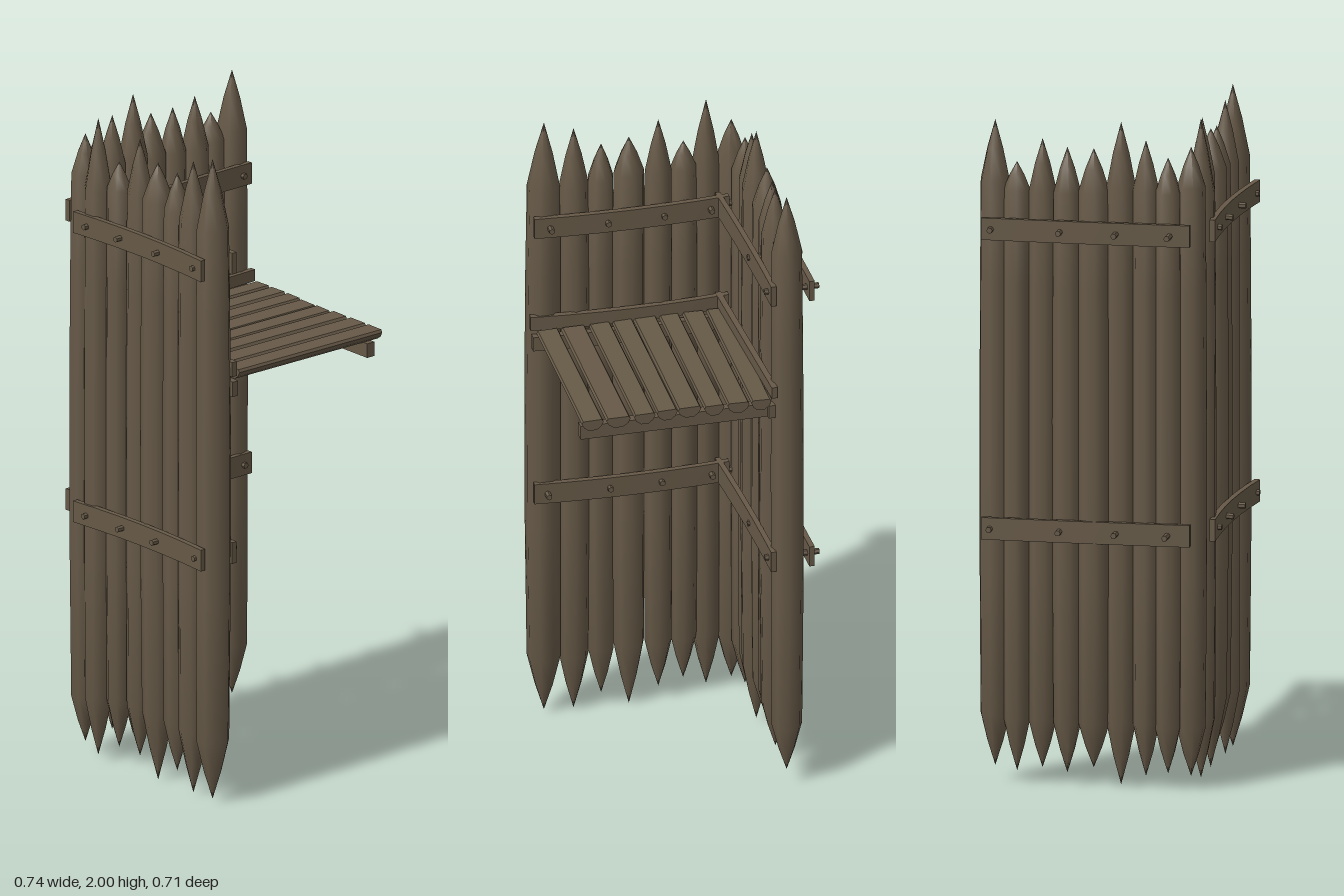
import * as THREE from 'three';
import { toCreasedNormals } from 'three/addons/utils/BufferGeometryUtils.js';

const wood = new THREE.MeshStandardMaterial({ color: 0x665947 });
wood.name = 'weatheredWood';

let seed = 7;
const wobble = (a) => {
  seed = (seed * 16807) % 2147483647;
  return (seed / 2147483647 * 2 - 1) * a;
};

function add(parent, name, geo, x = 0, y = 0, z = 0) {
  const mesh = new THREE.Mesh(geo, wood);
  mesh.name = name;
  mesh.position.set(x, y, z);
  parent.add(mesh);
  return mesh;
}

// Upright log sharpened at both ends, with a slight natural bow
function stake(parent, name, [x, z, r, bottom, top]) {
  const low = 0.2 + wobble(0.015), high = 1.79 + wobble(0.025);
  const profile = [
    [0, bottom], [r * 0.5, bottom + (low - bottom) * 0.47], [r * 0.93, low], [r * 0.99, 0.65],
    [r, 1.1], [r * 0.97, 1.5], [r * 0.92, high], [r * 0.5, high + (top - high) * 0.53], [0, top],
  ].map(([a, b]) => new THREE.Vector2(a, b));
  const geo = new THREE.LatheGeometry(profile, 8, wobble(1));
  const bx = wobble(0.005), bz = wobble(0.005);
  const p = geo.attributes.position;
  for (let i = 0; i < p.count; i++) {
    const s = Math.sin(p.getY(i) * Math.PI / 2);
    p.setX(i, p.getX(i) + bx * s);
    p.setZ(i, p.getZ(i) + bz * s);
  }
  add(parent, name, toCreasedNormals(geo, 0.9), x, 0, z);
}

// Plank between two ground-plan points, bowed sideways by bend
function rail(parent, name, [x0, z0], [x1, z1], y, height, thick, bend = 0) {
  const len = Math.hypot(x1 - x0, z1 - z0);
  const geo = new THREE.BoxGeometry(len, height, thick, 6, 1, 1);
  const p = geo.attributes.position;
  for (let i = 0; i < p.count; i++) {
    const t = p.getX(i) / len * 2;
    p.setZ(i, p.getZ(i) + bend * (1 - t * t));
  }
  geo.computeVertexNormals();
  const mesh = add(parent, name, geo, (x0 + x1) / 2, y, (z0 + z1) / 2);
  mesh.rotation.y = -Math.atan2(z1 - z0, x1 - x0);
}

// Peg driven right through a wall
function peg(parent, x, y, z, length, alongX) {
  const geo = toCreasedNormals(new THREE.CylinderGeometry(0.009, 0.009, length, 6), 0.5);
  if (alongX) geo.rotateZ(Math.PI / 2);
  else geo.rotateX(Math.PI / 2);
  add(parent, 'peg', geo, x, y, z);
}

// Split log: flat top, rounded underside
function halfLog(parent, x, width, y) {
  const shape = new THREE.Shape();
  const w = width / 2;
  shape.moveTo(-w * 0.86, 0);
  [[-w, -0.008], [-w * 0.8, -0.022], [-w * 0.35, -0.033], [w * 0.35, -0.033],
    [w * 0.8, -0.022], [w, -0.008], [w * 0.86, 0]].forEach(([a, b]) => shape.lineTo(a, b));
  shape.closePath();
  const length = 0.55 + wobble(0.005);
  const geo = new THREE.ExtrudeGeometry(shape, { depth: length, bevelEnabled: false });
  const mesh = add(parent, 'deckPlank', toCreasedNormals(geo, 0.6), x, y, 0.2 - length);
  mesh.rotation.z = wobble(0.03);
}

export function createModel() {
  const model = new THREE.Group();
  model.name = 'palisadeCorner';
  const group = (name) => {
    const g = new THREE.Group();
    g.name = name;
    model.add(g);
    return g;
  };

  // Front wall stakes: x, z, radius, bottom, top
  const front = group('frontWall');
  [
    [-0.25, 0.275, 0.046, 0.04, 1.93], [-0.177, 0.288, 0.046, 0.02, 2.0],
    [-0.103, 0.27, 0.041, 0.06, 1.88], [-0.025, 0.257, 0.043, 0.05, 1.97],
    [0.063, 0.262, 0.05, 0, 1.92], [0.147, 0.26, 0.043, 0.05, 1.91],
    [0.229, 0.268, 0.048, 0.005, 1.97], [0.318, 0.27, 0.054, 0.01, 2.0],
  ].forEach((s) => stake(front, 'frontStake', s));

  // Side wall stakes
  const side = group('sideWall');
  [
    [-0.272, -0.31, 0.049, 0.05, 1.99], [-0.288, -0.24, 0.043, 0.04, 1.87],
    [-0.274, -0.167, 0.045, 0.05, 1.94], [-0.283, -0.09, 0.044, 0.04, 1.92],
    [-0.287, -0.01, 0.05, 0.06, 1.92], [-0.275, 0.07, 0.047, 0.01, 2.0],
    [-0.28, 0.146, 0.043, 0.04, 1.95], [-0.276, 0.212, 0.043, 0.05, 1.9],
  ].forEach((s) => stake(side, 'sideStake', s));

  // Two rows of rails inside and outside, pegged through the stakes
  for (const y of [0.775, 1.675]) {
    rail(front, 'outerRail', [-0.228, 0.334], [0.352, 0.336], y, 0.066, 0.017, -0.015);
    rail(front, 'innerRail', [-0.228, 0.218], [0.36, 0.222], y, 0.066, 0.017, -0.013);
    rail(side, 'outerRail', [-0.343, -0.335], [-0.317, 0.287], y, 0.066, 0.016, 0.004);
    rail(side, 'innerRail', [-0.226, -0.34], [-0.2, 0.24], y, 0.066, 0.016, 0.004);
    for (const x of [-0.177, -0.025, 0.14, 0.318]) peg(front, x + wobble(0.006), y, 0.268, 0.165, false);
    for (const z of [-0.305, -0.1, 0.071, 0.225]) peg(side, -0.288, y, z + wobble(0.004), 0.165, true);
  }

  // Lookout platform: half-log deck, cleats above and beams below
  const deck = group('platform');
  [
    [-0.185, 0.06], [-0.116, 0.066], [-0.043, 0.06], [0.03, 0.07],
    [0.098, 0.062], [0.167, 0.064], [0.247, 0.073], [0.325, 0.066],
  ].forEach(([x, w]) => halfLog(deck, x, w, 1.338));
  rail(deck, 'sideCleat', [-0.226, -0.352], [-0.2, 0.235], 1.355, 0.036, 0.018);
  rail(deck, 'frontCleat', [-0.228, 0.222], [0.37, 0.23], 1.35, 0.045, 0.018, -0.016);
  rail(deck, 'sideBeam', [-0.222, -0.335], [-0.196, 0.235], 1.282, 0.042, 0.02);
  rail(deck, 'frontBeam', [-0.228, 0.218], [0.365, 0.222], 1.286, 0.046, 0.022, -0.012);
  rail(deck, 'backBeam', [-0.22, -0.31], [0.355, -0.31], 1.284, 0.044, 0.028);

  return model;
}
